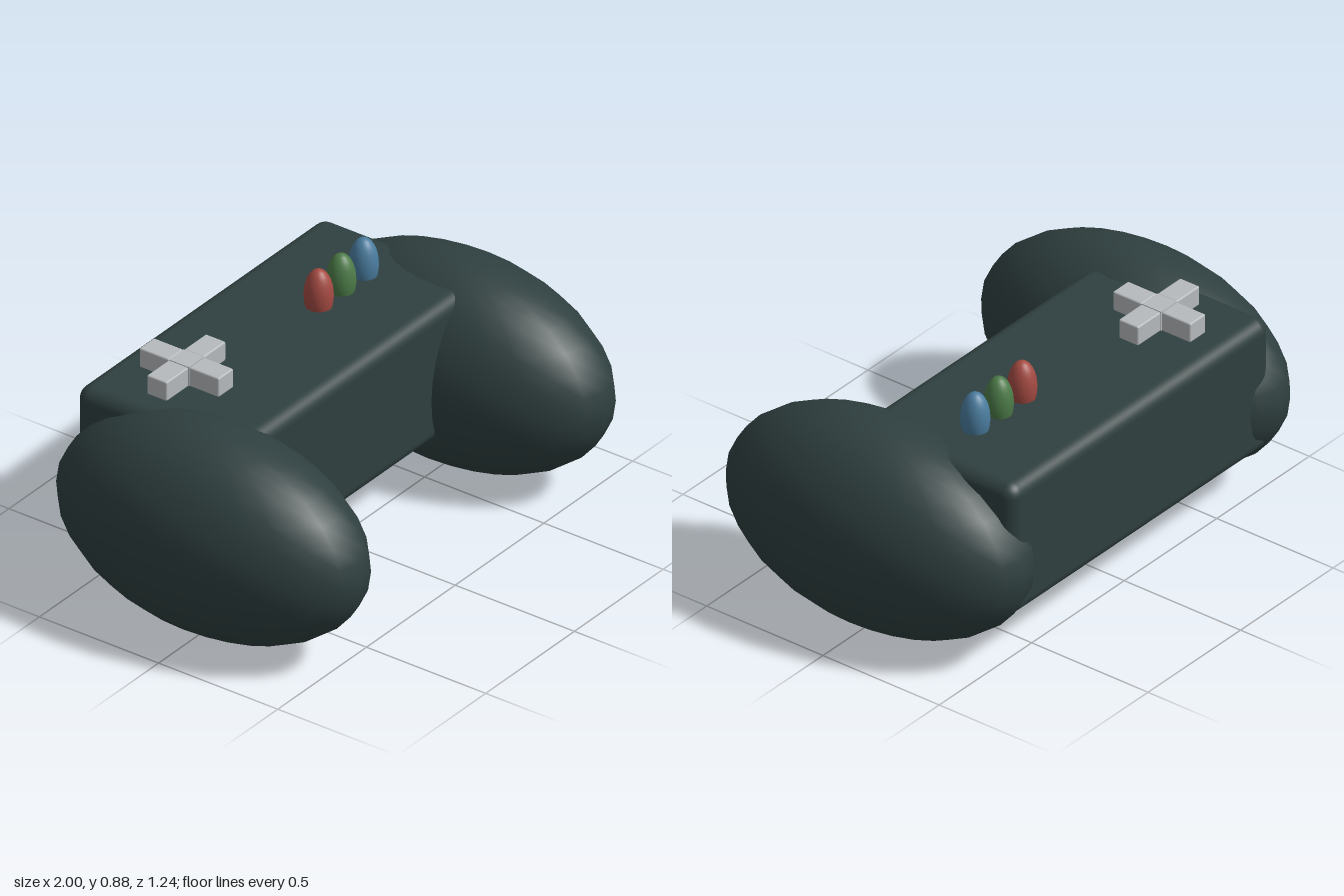
import * as THREE from 'three';
import { RoundedBoxGeometry } from 'three/addons/geometries/RoundedBoxGeometry.js';

const material = (name, color) => {
  const m = new THREE.MeshStandardMaterial({ color });
  m.name = name;
  return m;
};

export function createModel() {
  const model = new THREE.Group();
  model.name = 'gamepad';
  const shell = material('dark slate', 0x2f3f3f);
  const grey = material('light grey', 0xb6babd);

  const add = (name, geometry, mat, x, y, z, parent = model) => {
    const mesh = new THREE.Mesh(geometry, mat);
    mesh.name = name;
    mesh.position.set(x, y, z);
    parent.add(mesh);
    return mesh;
  };
  const ellipsoid = (rx, ry, rz) => new THREE.SphereGeometry(1, 24, 16).scale(rx, ry, rz);

  // Rounded central body
  add('body', new RoundedBoxGeometry(1.4, 0.515, 0.69, 4, 0.05), shell, 0, 0.478, -0.233);

  // Egg-shaped hand grips
  for (const [name, side] of [['leftGrip', 1], ['rightGrip', -1]]) {
    add(name, ellipsoid(0.31, 0.387, 0.622), shell, side * 0.69, 0.39, 0);
  }

  // Cross-shaped direction pad: a centre block and four arms
  const pad = new THREE.Group();
  pad.name = 'directionPad';
  pad.position.set(-0.435, 0.78, -0.304);
  model.add(pad);
  const w = 0.084, h = 0.075, reach = 0.167;
  add('padCentre', new THREE.BoxGeometry(w, h, w), grey, 0, 0, 0, pad);
  const armLength = reach - w / 2;
  for (let i = 0; i < 4; i++) {
    const angle = i * Math.PI / 2;
    const d = w / 2 + armLength / 2;
    const arm = add('padArm', new RoundedBoxGeometry(armLength, h, w, 2, 0.006), grey,
      Math.cos(angle) * d, 0, -Math.sin(angle) * d, pad);
    arm.rotation.y = angle;
  }

  // Row of tall round buttons
  const buttons = [['red', 0xa34a42], ['green', 0x4c7a48], ['blue', 0x4a7c9e]];
  buttons.forEach(([name, color], i) => {
    add(name + 'Button', ellipsoid(0.05, 0.1, 0.052), material(name, color), 0.213 + i * 0.127, 0.778, -0.231);
  });

  return model;
}
